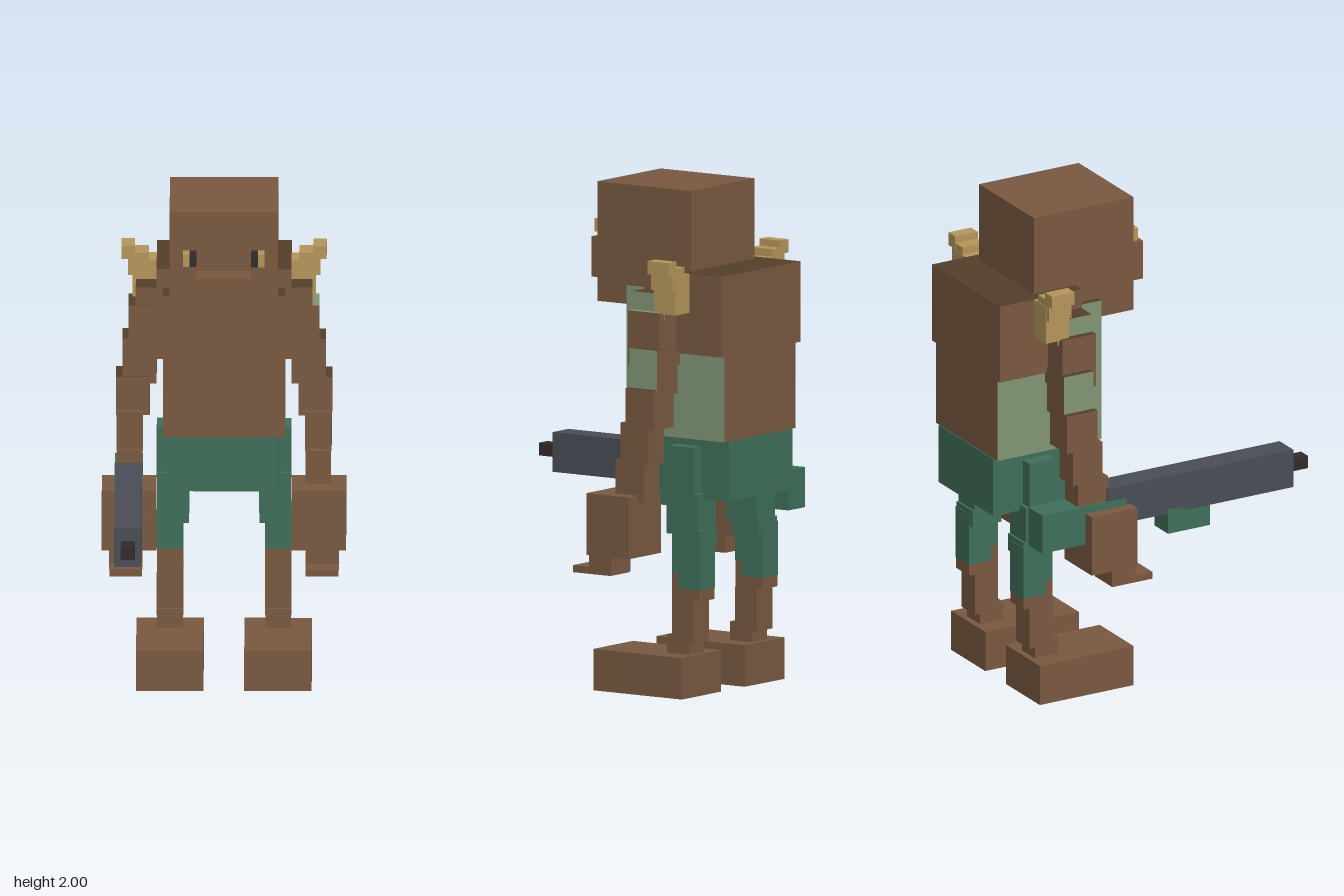
import * as THREE from 'three';

const mat = (name, color) => {
  const m = new THREE.MeshStandardMaterial({ color });
  m.name = name;
  return m;
};

export function createModel() {
  const model = new THREE.Group();
  model.name = 'blockFighter';

  const brown = mat('brown', 0x7b5a42);
  const darkBrown = mat('darkBrown', 0x543f2a);
  const green = mat('green', 0x40705b);
  const sage = mat('sage', 0x839776);
  const tan = mat('tan', 0xb8985c);
  const slate = mat('slate', 0x4b4e58);
  const black = mat('black', 0x332b29);

  // Box from its limits; a material array follows +x, -x, +y, -y, +z, -z
  const box = (parent, name, material, [x0, x1], [y0, y1], [z0, z1]) => {
    const mesh = new THREE.Mesh(new THREE.BoxGeometry(x1 - x0, y1 - y0, z1 - z0), material);
    mesh.position.set((x0 + x1) / 2, (y0 + y1) / 2, (z0 + z1) / 2);
    mesh.name = name;
    parent.add(mesh);
    return mesh;
  };
  const group = (name) => {
    const g = new THREE.Group();
    g.name = name;
    model.add(g);
    return g;
  };

  // Head and snout
  const head = group('head');
  box(head, 'skull', brown, [-0.213, 0.213], [1.525, 2], [-0.475, -0.022]);
  box(head, 'snout', brown, [-0.107, 0.107], [1.6, 1.76], [-0.022, 0.083]);

  // Torso with pale flanks, raised upper back, and shorts
  const torso = group('torso');
  box(torso, 'chest', [sage, sage, darkBrown, brown, brown, brown], [-0.24, 0.24], [1.02, 1.605], [-0.656, -0.183]);
  box(torso, 'upperBack', [brown, brown, darkBrown, brown, brown, brown], [-0.265, 0.265], [1.36, 1.68], [-0.66, -0.287]);
  box(torso, 'shorts', green, [-0.213, 0.213], [0.78, 1.02], [-0.66, -0.235]);

  for (const s of [1, -1]) {
    const side = s > 0 ? 'left' : 'right';
    const span = (a, b) => (s > 0 ? [a, b] : [-b, -a]);
    // Arm block with its own outer side and top colours
    const faces = (outer, top) => (s > 0
      ? [outer, brown, top, brown, brown, brown]
      : [brown, outer, top, brown, brown, brown]);

    // Eye
    box(head, side + 'Pupil', black, span(0.107, 0.134), [1.79, 1.842], [-0.022, 0.03]);
    box(head, side + 'EyeCorner', tan, span(0.134, 0.16), [1.79, 1.842], [-0.022, 0.03]);

    // Stepped arm
    const arm = group(side + 'Arm');
    box(arm, 'shoulderTop', faces(sage, darkBrown), span(0.21, 0.347), [1.5, 1.603], [-0.445, -0.29]);
    box(arm, 'shoulder', faces(brown, s > 0 ? sage : darkBrown), span(0.235, 0.375), [1.31, 1.53], [-0.44, -0.287]);
    box(arm, 'upperArm', faces(sage, darkBrown), span(0.265, 0.4), [1.2, 1.385], [-0.446, -0.312]);
    box(arm, 'elbow', faces(brown, darkBrown), span(0.292, 0.425), [1.07, 1.228], [-0.448, -0.31]);
    box(arm, 'forearm', brown, span(0.318, 0.423), [0.93, 1.09], [-0.42, -0.285]);
    box(arm, 'wrist', brown, span(0.32, 0.42), [0.78, 0.94], [-0.396, -0.258]);

    // Hand and fingers
    box(arm, 'palm', brown, span(0.265, 0.48), [0.56, 0.805], [-0.367, -0.16]);
    box(arm, 'knuckles', brown, span(0.292, 0.455), [0.563, 0.695], [-0.3, -0.152]);
    box(arm, 'fingers', brown, span(0.32, 0.452), [0.483, 0.565], [-0.26, -0.152]);
    box(arm, 'fingertips', brown, span(0.322, 0.45), [0.48, 0.508], [-0.255, -0.073]);

    // Shoulder spike in three steps
    const spike = group(side + 'ShoulderSpike');
    box(spike, 'spikeBase', tan, span(0.265, 0.36), [1.525, 1.68], [-0.505, -0.402]);
    box(spike, 'spikeMiddle', tan, span(0.295, 0.378), [1.62, 1.71], [-0.503, -0.4]);
    box(spike, 'spikeTip', tan, span(0.35, 0.403), [1.685, 1.738], [-0.504, -0.401]);

    // Leg and foot
    const leg = group(side + 'Leg');
    box(leg, 'hip', green, span(0.135, 0.265), [0.78, 0.99], [-0.525, -0.41]);
    box(leg, 'thigh', green, span(0.137, 0.263), [0.64, 0.805], [-0.54, -0.392]);
    box(leg, 'knee', green, span(0.138, 0.262), [0.59, 0.66], [-0.55, -0.418]);
    box(leg, 'trouserEnd', green, span(0.16, 0.265), [0.485, 0.64], [-0.553, -0.42]);
    box(leg, 'trouserBack', green, span(0.16, 0.265), [0.425, 0.485], [-0.553, -0.45]);
    box(leg, 'shin', brown, span(0.161, 0.264), [0.38, 0.484], [-0.551, -0.42]);
    box(leg, 'lowerShin', brown, span(0.16, 0.265), [0.21, 0.38], [-0.525, -0.42]);
    box(leg, 'ankle', brown, span(0.162, 0.263), [0.15, 0.24], [-0.5, -0.395]);
    box(leg, 'foot', brown, span(0.08, 0.345), [0, 0.165], [-0.525, -0.098]);
  }

  // Long gun held in the right hand
  const gun = group('gun');
  box(gun, 'barrel', slate, [-0.428, -0.322], [0.73, 0.888], [-0.265, 0.58]);
  box(gun, 'muzzle', black, [-0.402, -0.347], [0.785, 0.836], [0.58, 0.663]);
  box(gun, 'foregrip', green, [-0.428, -0.322], [0.645, 0.748], [0.01, 0.2]);
  box(gun, 'stock', green, [-0.43, -0.32], [0.675, 0.835], [-0.563, -0.18]);

  return model;
}
